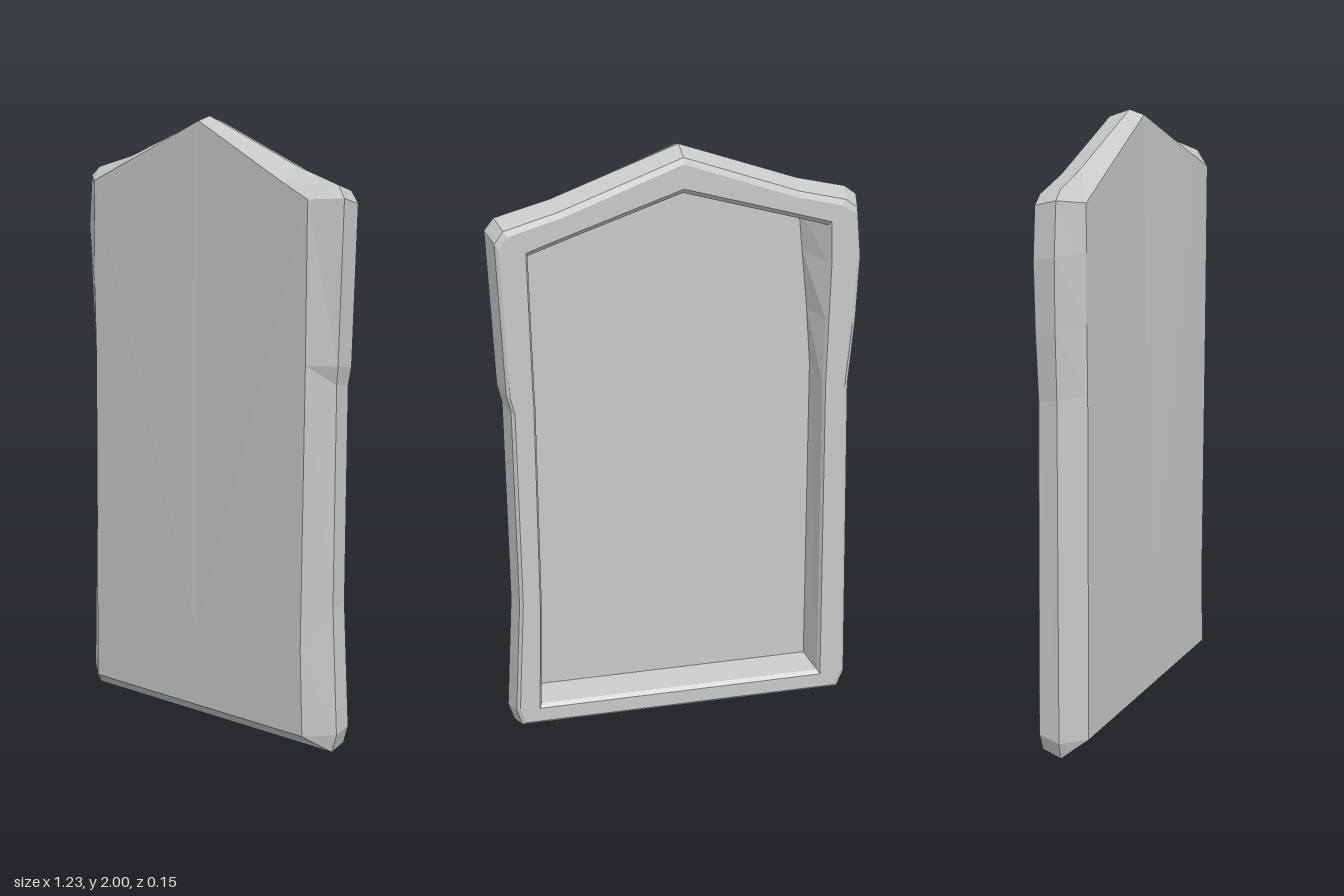
import * as THREE from 'three';

// Every outline runs from the bottom -x corner, up, over the peak and down the +x side.
// The widest outline also carries z, as its upper corners sit further forward.
const OUTER = [
  [-0.58, 0, 0.005], [-0.605, 0.06, 0.01], [-0.585, 1.17, 0.003], [-0.605, 1.4, 0.008],
  [-0.615, 1.62, 0.012], [-0.6, 1.79, 0.012], [-0.56, 1.82, 0.01], [-0.4, 1.86, 0.005],
  [-0.01, 2, 0.003], [0.4, 1.85, 0.005], [0.58, 1.8, 0.01], [0.61, 1.76, 0.014],
  [0.587, 1.24, 0.012], [0.573, 1.18, 0.003], [0.565, 0.47, 0.003], [0.587, 0.06, 0.005],
  [0.567, 0, 0.005],
];
const FACE = [
  [-0.515, 0.05], [-0.515, 0.05], [-0.51, 1.18], [-0.515, 1.4], [-0.515, 1.62], [-0.515, 1.775],
  [-0.515, 1.775], [-0.4, 1.823], [-0.01, 1.985], [0.4, 1.802], [0.51, 1.755], [0.51, 1.755],
  [0.505, 1.24], [0.505, 1.24], [0.49, 0.33], [0.5, 0.05], [0.5, 0.05],
];
const OPENING = [
  [-0.5, 0.075], [-0.5, 0.075], [-0.49, 1.17], [-0.495, 1.4], [-0.5, 1.6], [-0.495, 1.73],
  [-0.495, 1.73], [-0.38, 1.765], [-0.01, 1.875], [0.38, 1.745], [0.495, 1.705], [0.495, 1.705],
  [0.485, 1.24], [0.483, 1.18], [0.48, 0.47], [0.49, 0.075], [0.49, 0.075],
];
const FLOOR = [
  [-0.475, 0.1], [-0.475, 0.1], [-0.47, 1.2], [-0.455, 1.4], [-0.435, 1.6], [-0.42, 1.75],
  [-0.42, 1.75], [-0.32, 1.773], [0.07, 1.86], [0.38, 1.73], [0.48, 1.69], [0.48, 1.69],
  [0.475, 1.24], [0.472, 1.18], [0.47, 0.47], [0.475, 0.1], [0.475, 0.1],
];

const place = (loop, z, sx = 1, sy = 1, dy = 0) => loop.map(([x, y]) => [x * sx, y * sy + dy, z]);

// Skins consecutive loops, optionally closing the first or last one around a hub point.
function skin(loops, frontHub, backHub) {
  const pos = [];
  const tri = (a, b, c) => {
    const [p, q, r] = [a, b, c].map((v) => new THREE.Vector3(...v));
    const area = q.clone().sub(p).cross(r.clone().sub(p)).length();
    if (area > 1e-8) pos.push(...a, ...b, ...c);
  };
  const n = loops[0].length;
  const last = loops[loops.length - 1];
  for (let i = 0; i < n; i++) {
    const j = (i + 1) % n;
    for (let k = 0; k + 1 < loops.length; k++) {
      const f = loops[k], b = loops[k + 1];
      tri(f[i], f[j], b[j]);
      tri(f[i], b[j], b[i]);
    }
    if (frontHub) tri(frontHub, loops[0][j], loops[0][i]);
    if (backHub) tri(backHub, last[i], last[j]);
  }
  const geo = new THREE.BufferGeometry();
  geo.setAttribute('position', new THREE.Float32BufferAttribute(pos, 3));
  geo.computeVertexNormals();
  return geo;
}

export function createModel() {
  const group = new THREE.Group();
  group.name = 'slab';
  const stone = new THREE.MeshStandardMaterial({ color: 0xc8c8c8 });
  stone.name = 'light grey stone';
  const add = (name, geo) => {
    const mesh = new THREE.Mesh(geo, stone);
    mesh.name = name;
    group.add(mesh);
  };

  // The face leans back slightly towards its peak
  const face = place(FACE, 0.073).map(([x, y, z]) =>
    [x, y, y > 1.78 ? z - 0.02 * (y - 1.775) / 0.21 : z]);
  const backEdge = place(OUTER, -0.066, 0.97, 0.98, 0.015);
  const backRim = place(OUTER, -0.074, 0.95, 0.965, 0.025);
  const opening = place(OPENING, -0.074);
  const lip = place(OPENING, -0.06, 0.985, 0.985, 0.012);
  const floor = place(FLOOR, 0.047);

  // Chipped front face with bevelled sides
  add('body', skin([face, OUTER, backEdge, backRim], [0, 0.3, 0.073], null));
  // Flat frame around the hollow back, with a small inner bevel
  add('backRim', skin([backRim, opening, lip]));
  // Walls and floor of the hollow
  add('recess', skin([lip, floor], null, [0, 0.9, 0.047]));
  return group;
}
